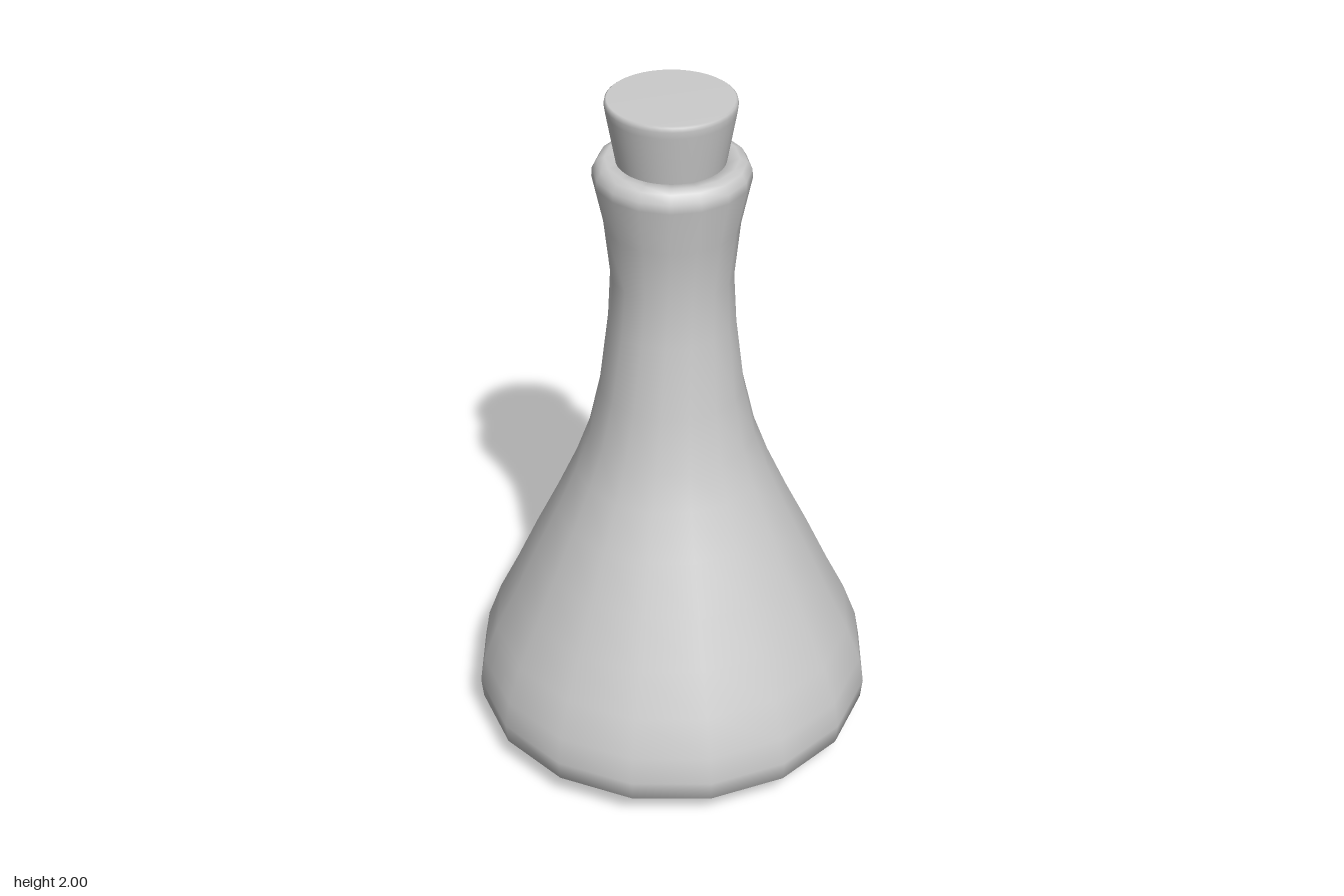
import * as THREE from 'three';

const lathe = (profile, sides, start = 0) =>
  new THREE.LatheGeometry(profile.map(([r, y]) => new THREE.Vector2(r, y)), sides, start);

// Turn each ring about y by an angle that depends on its height
function twist(geometry, angleAt) {
  const axis = new THREE.Vector3(0, 1, 0);
  const v = new THREE.Vector3();
  const { position, normal } = geometry.attributes;
  for (let i = 0; i < position.count; i++) {
    const angle = angleAt(position.getY(i));
    for (const attribute of [position, normal]) {
      v.fromBufferAttribute(attribute, i).applyAxisAngle(axis, angle);
      attribute.setXYZ(i, v.x, v.y, v.z);
    }
  }
  return geometry;
}

export function createModel() {
  const group = new THREE.Group();
  group.name = 'stopperedFlask';
  const material = new THREE.MeshStandardMaterial({ color: 0xcccccc });

  // Flask: slightly bulging base, conical body, waisted neck and rounded lip
  const flaskProfile = [
    [0, 0], [0.26, 0.01], [0.44, 0.027], [0.52, 0.045], [0.572, 0.09],
    [0.578, 0.15], [0.564, 0.23], [0.523, 0.34], [0.465, 0.46], [0.402, 0.6],
    [0.335, 0.74], [0.277, 0.87], [0.237, 0.98], [0.203, 1.13], [0.176, 1.34],
    [0.168, 1.48], [0.184, 1.635], [0.213, 1.77], [0.211, 1.795],
    [0.198, 1.818], [0.178, 1.826], [0.13, 1.822], [0.12, 1.78],
  ];
  const flaskGeometry = twist(lathe(flaskProfile, 16, 0.02),
    (y) => 0.176 * THREE.MathUtils.smoothstep(y, 0.8, 1.75));
  const flask = new THREE.Mesh(flaskGeometry, material);
  flask.name = 'flask';
  group.add(flask);

  // Tapered stopper with a softened top edge, seated in the neck
  const stopperProfile = [
    [0, 1.74], [0.13, 1.74], [0.146, 1.82], [0.172, 1.965],
    [0.175, 1.985], [0.173, 1.996], [0.168, 2], [0, 2],
  ];
  const stopper = new THREE.Mesh(lathe(stopperProfile, 40), material);
  stopper.name = 'stopper';
  stopper.position.x = -0.004;
  group.add(stopper);

  return group;
}
